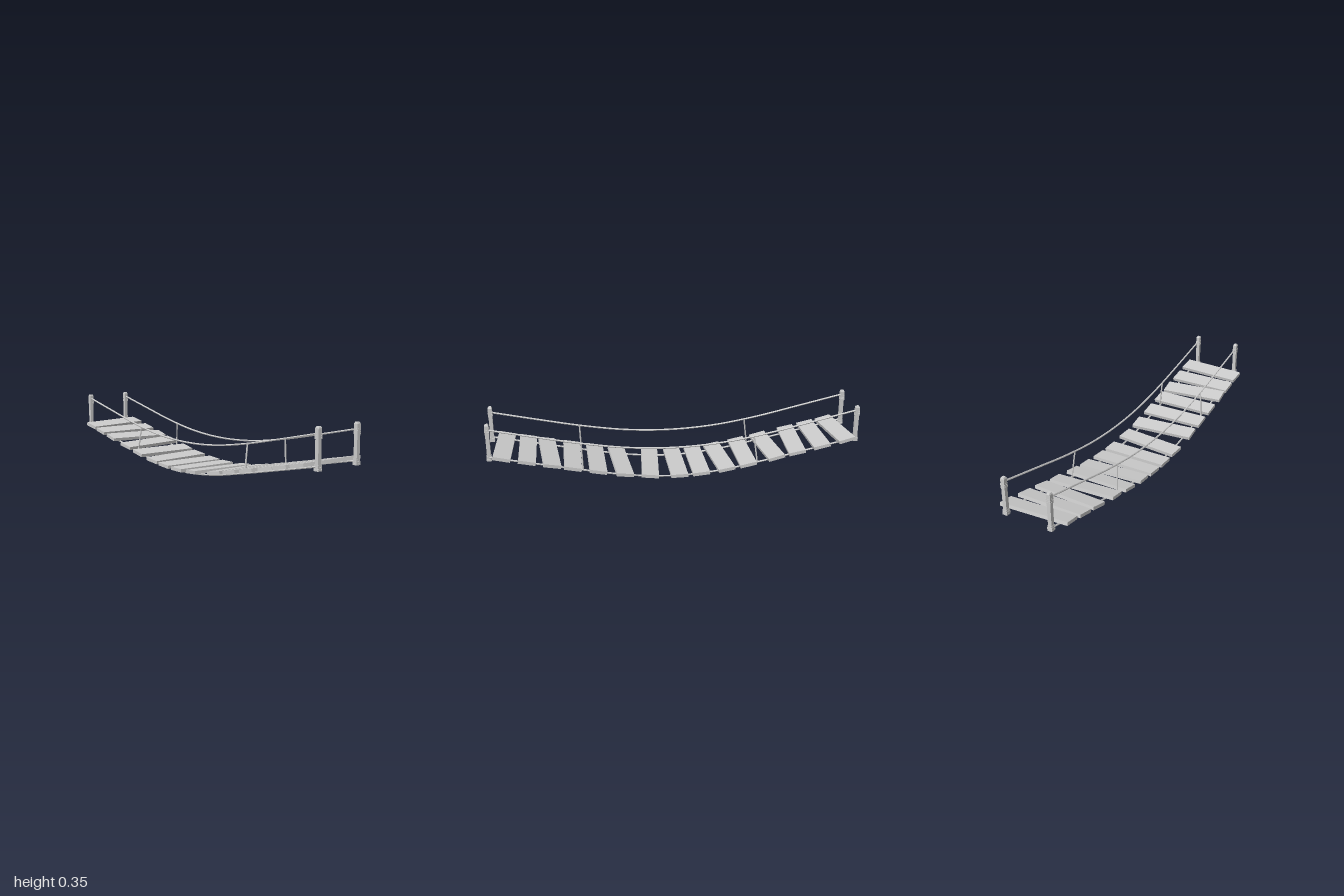
import * as THREE from 'three';

const material = new THREE.MeshStandardMaterial({ color: 0xcccccc, flatShading: true });

// Sagging curve in the z-y plane from heights at even steps of z
function sag(heights, x) {
  const end = 0.985;
  const n = heights.length - 1;
  return new THREE.CatmullRomCurve3(
    heights.map((y, i) => new THREE.Vector3(x, y, -end + (2 * end * i) / n)));
}

// Point on a sagging curve at a given z
function pointAt(curve, z) {
  let lo = 0, hi = 1;
  for (let i = 0; i < 30; i++) {
    const mid = (lo + hi) / 2;
    if (curve.getPoint(mid).z < z) lo = mid; else hi = mid;
  }
  return curve.getPoint(lo);
}

const DECK = [0.171, 0.119, 0.068, 0.023, 0.005, 0.023, 0.068, 0.119, 0.171];
const RAIL = [0.328, 0.273, 0.219, 0.18, 0.166, 0.178, 0.215, 0.266, 0.32];
const POST_X = 0.128, DECK_X = 0.139, POST_Z = 0.987;

// Planks as [z at left edge of the plan, z at right edge]
const PLANKS = [
  [-0.897, -0.929], [-0.79, -0.79], [-0.675, -0.653], [-0.51, -0.54], [-0.384, -0.384],
  [-0.24, -0.267], [-0.127, -0.127], [-0.008, -0.008], [0.119, 0.151], [0.31, 0.283],
  [0.431, 0.425], [0.558, 0.558], [0.696, 0.664], [0.794, 0.794], [0.907, 0.923],
];

function add(parent, name, geometry, x = 0, y = 0, z = 0) {
  const mesh = new THREE.Mesh(geometry, material);
  mesh.name = name;
  mesh.position.set(x, y, z);
  parent.add(mesh);
  return mesh;
}

// Square block, optionally tapered towards its top
function block(width, height, topWidth = width) {
  return new THREE.CylinderGeometry(topWidth * Math.SQRT1_2, width * Math.SQRT1_2, height, 4)
    .rotateY(Math.PI / 4);
}

function makePost(x, z) {
  const post = new THREE.Group();
  post.name = 'post';
  add(post, 'postShaft', block(0.02, 0.18), 0, 0.245);
  // Rope lashing round the foot
  [0.155, 0.165, 0.175].forEach((y, i) =>
    add(post, 'footLashing', block(i === 2 ? 0.024 : 0.026, 0.009), 0, y));
  // Lashing under the cap, where the hand rope is tied
  [0.3, 0.309, 0.318].forEach((y) => add(post, 'ropeLashing', block(0.024, 0.008), 0, y));
  add(post, 'postCap', block(0.022, 0.023), 0, 0.3335);
  add(post, 'postCapTop', block(0.022, 0.008, 0.015), 0, 0.349);
  post.position.set(x, 0, z);
  return post;
}

export function createModel() {
  const model = new THREE.Group();
  model.name = 'ropeBridge';

  for (const side of [-1, 1]) {
    const deck = sag(DECK, side * DECK_X);
    const rail = sag(RAIL, side * POST_X);
    add(model, 'deckRope', new THREE.TubeGeometry(deck, 48, 0.005, 6));
    add(model, 'handRope', new THREE.TubeGeometry(rail, 48, 0.005, 6));
    for (const end of [-1, 1]) model.add(makePost(side * POST_X, end * POST_Z));

    // Hangers between hand rope and deck rope
    for (const [zTop, zBottom] of [[0.51, 0.505], [-0.42, -0.44]]) {
      const line = new THREE.LineCurve3(pointAt(rail, zTop), pointAt(deck, zBottom));
      add(model, 'hanger', new THREE.TubeGeometry(line, 1, 0.0045, 6));
    }
  }

  // Planks lie on the deck ropes, following the slope with a slight twist
  const path = sag(DECK, 0);
  for (const [zLeft, zRight] of PLANKS) {
    const z = (zLeft + zRight) / 2;
    const a = pointAt(path, z - 0.045), b = pointAt(path, z + 0.045);
    const pitch = -Math.atan2(b.y - a.y, b.z - a.z);
    const yaw = Math.atan2(zLeft - zRight, 0.36);
    const plank = add(model, 'plank', new THREE.BoxGeometry(0.363, 0.018, 0.092),
      -0.002, (a.y + b.y) / 2 + 0.014, z);
    plank.rotation.set(pitch, yaw, 0);
  }
  return model;
}
